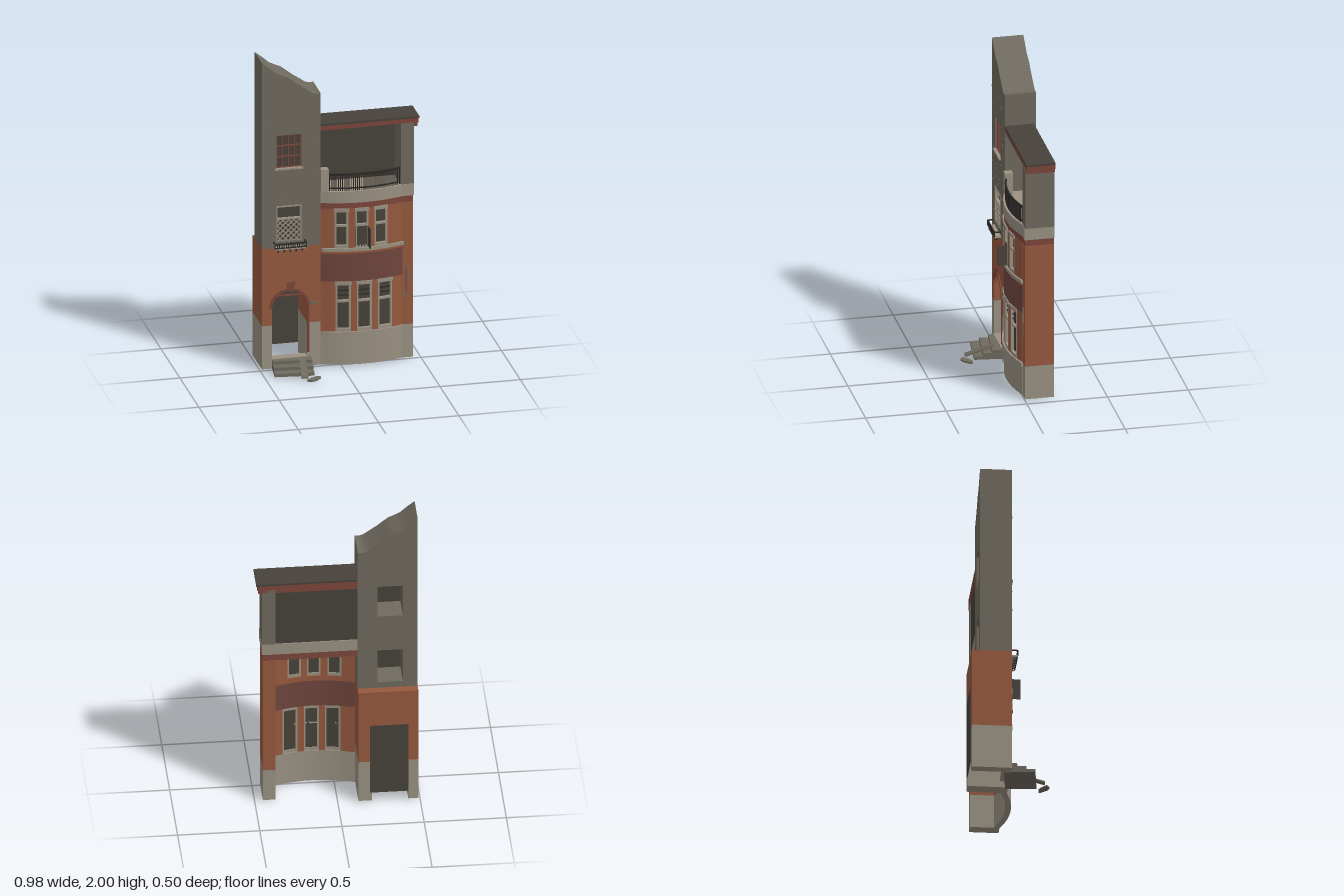
import * as THREE from 'three';
import { toCreasedNormals } from 'three/addons/utils/BufferGeometryUtils.js';

const mat = (name, color) => Object.assign(new THREE.MeshStandardMaterial({ color }), { name });

export function createModel() {
  const root = new THREE.Group();
  root.name = 'townhouseFacade';
  const brick = mat('orangeBrick', 0x96593f);
  const stone = mat('paleStone', 0x9a9182);
  const plaster = mat('greyPlaster', 0x6f6a5f);
  const dark = mat('darkPanel', 0x47423a);
  const red = mat('redTrim', 0x7c463b);
  const band = mat('maroonBand', 0x6f463d);
  const iron = mat('blackIron', 0x2b2926);

  const add = (name, geo, m, parent = root) => {
    const mesh = new THREE.Mesh(geo, m);
    mesh.name = name;
    parent.add(mesh);
    return mesh;
  };
  // box given by its extents
  const box = (name, m, x0, x1, y0, y1, z0, z1, parent = root) => {
    const b = add(name, new THREE.BoxGeometry(x1 - x0, y1 - y0, z1 - z0), m, parent);
    b.position.set((x0 + x1) / 2, (y0 + y1) / 2, (z0 + z1) / 2);
    return b;
  };
  // extrusion of an x-y outline from z0 to z1
  const slab = (name, m, shape, z0, z1, parent = root) => {
    const geo = new THREE.ExtrudeGeometry(shape, { depth: z1 - z0, bevelEnabled: false, curveSegments: 16 });
    geo.translate(0, 0, z0);
    return add(name, toCreasedNormals(geo, 0.5), m, parent);
  };
  const poly = (pts) => new THREE.Shape(pts.map((p) => new THREE.Vector2(p[0], p[1])));
  const rectHole = (x0, x1, y0, y1) => poly([[x0, y0], [x0, y1], [x1, y1], [x1, y0]]);

  // front line of the bowed facade
  const R = 0.717, CX = 0.13, SAG = 0.045;
  const bow = (x) => Math.max(0, Math.sqrt(R * R - (x - CX) ** 2) - (R - SAG));
  // block following the bow; a flat back is used when back is given
  const bowBlock = (name, m, x0, x1, y0, y1, out, thick, back) => {
    const n = Math.max(2, Math.ceil((x1 - x0) / 0.02));
    const front = [], rear = [];
    for (let i = 0; i <= n; i++) {
      const x = x0 + ((x1 - x0) * i) / n, z = bow(x) + out;
      front.push([x, -z]);
      rear.unshift([x, -(z - thick)]);
    }
    const end = back === undefined ? rear : [[x1, -back], [x0, -back]];
    const geo = new THREE.ExtrudeGeometry(poly([...front, ...end]), { depth: y1 - y0, bevelEnabled: false });
    geo.rotateX(-Math.PI / 2);
    geo.translate(0, y0, 0);
    return add(name, toCreasedNormals(geo, 0.5), m);
  };

  // ---- tower, lower block with arched passage ----
  const TX0 = -0.49, TX1 = -0.125, AX = -0.318, AR = 0.11;
  box('towerBaseOuter', stone, TX0, AX - AR, 0.01, 0.29, -0.245, 0);
  box('towerBaseInner', stone, AX + AR, TX1, 0.01, 0.29, -0.245, 0);
  const arch = new THREE.Shape();
  arch.moveTo(TX0, 0.29);
  arch.lineTo(AX - AR, 0.29);
  arch.lineTo(AX - AR, 0.4);
  arch.absarc(AX, 0.4, AR, Math.PI, 0, true);
  arch.lineTo(AX + AR, 0.29);
  arch.lineTo(TX1, 0.29);
  arch.lineTo(TX1, 0.79);
  arch.lineTo(TX0, 0.79);
  slab('towerBrick', brick, arch, -0.245, 0);
  box('backDoorPanel', dark, -0.43, -0.195, 0.07, 0.55, -0.252, -0.246);

  // arch trim, keystone and fanlight bars
  const ring = new THREE.Shape();
  ring.absarc(AX, 0.4, AR + 0.014, 0, Math.PI, false);
  ring.absarc(AX, 0.4, AR, Math.PI, 0, true);
  slab('archTrim', red, ring, -0.01, 0.008);
  box('archJamb', red, AX + AR, AX + AR + 0.012, 0.1, 0.4, -0.01, 0.006);
  slab('keystone', red, poly([[-0.326, 0.505], [-0.296, 0.51], [-0.282, 0.572], [-0.342, 0.556]]), 0, 0.014);
  box('fanlightRail', red, -0.395, -0.24, 0.465, 0.473, -0.03, -0.02);
  for (const x of [-0.345, -0.3]) box('fanlightBar', red, x, x + 0.006, 0.47, 0.505, -0.03, -0.02);
  box('doorLampBracket', plaster, -0.19, -0.145, 0.41, 0.425, 0, 0.008);

  // ---- tower, upper block with broken top edge ----
  const upper = poly([[TX0, 0.79], [TX1, 0.79], [TX1, 1.775], [-0.15, 1.772], [-0.177, 1.78], [-0.215, 1.807],
    [-0.257, 1.835], [-0.3, 1.87], [-0.33, 1.893], [-0.365, 1.908], [-0.4, 1.925], [-0.445, 1.965], [TX0, 2]]);
  const WX0 = -0.4, WX1 = -0.245;
  upper.holes.push(rectHole(WX0, WX1, 1.305, 1.52), rectHole(WX0, WX1, 0.83, 1.06));
  slab('towerUpper', plaster, upper, -0.195, 0);

  // top window with a red grid
  box('topWindowPane', dark, WX0, WX1, 1.305, 1.52, -0.035, -0.028);
  for (let i = 0; i < 5; i++) {
    const x = WX0 + i * 0.0373;
    box('topWindowBar', red, x, x + 0.006, 1.305, 1.52, -0.018, -0.008);
  }
  for (const y of [1.305, 1.375, 1.445, 1.513]) box('topWindowRail', red, WX0, WX1, y, y + 0.006, -0.018, -0.009);
  box('topWindowSill', stone, -0.41, -0.235, 1.297, 1.307, -0.02, 0.012);

  // lower window with diamond lattice
  box('latticePane', dark, WX0, WX1, 0.83, 1.06, -0.035, -0.028);
  box('latticeTransom', stone, WX0, WX1, 0.97, 0.98, -0.02, 0);
  box('latticeHead', stone, WX0, WX1, 1.053, 1.062, -0.02, 0.004);
  for (const x of [WX0, WX1 - 0.006]) box('latticeJamb', stone, x, x + 0.006, 0.83, 1.06, -0.02, 0.002);
  const LY0 = 0.82, LY1 = 0.97;
  for (const s of [1, -1]) {
    for (let k = -4; k < 5; k++) {
      // diagonal clipped to the window rectangle
      const c = (WX0 + WX1) / 2 + k * 0.034, mid = (LY0 + LY1) / 2;
      const t0 = Math.max(-0.075, WX0 - c), t1 = Math.min(0.075, WX1 - c);
      if (t1 - t0 < 0.01) continue;
      const t = (t0 + t1) / 2;
      const bar = add('latticeBar', new THREE.BoxGeometry((t1 - t0) * Math.SQRT2, 0.006, 0.006), stone);
      bar.position.set(c + t, mid + s * t, -0.012);
      bar.rotation.z = (s * Math.PI) / 4;
    }
  }

  // small iron balcony
  box('balconyFloor', stone, -0.415, -0.225, 0.79, 0.8, 0, 0.042);
  box('balconyRail', iron, -0.42, -0.22, 0.826, 0.833, 0.038, 0.045);
  box('balconyLowRail', iron, -0.42, -0.22, 0.8, 0.806, 0.038, 0.045);
  for (const x of [-0.42, -0.227]) box('balconySideRail', iron, x, x + 0.007, 0.826, 0.833, 0, 0.04);
  for (let i = 0; i <= 14; i++) box('balconyBar', iron, -0.42 + i * 0.0139, -0.415 + i * 0.0139, 0.8, 0.83, 0.039, 0.044);
  for (let i = 0; i < 5; i++) {
    const scroll = add('balconyScroll', new THREE.TorusGeometry(0.01, 0.003, 6, 12), iron);
    scroll.position.set(-0.395 + i * 0.0375, 0.783, 0.03);
    scroll.rotation.y = Math.PI / 3;
  }

  // scattered chips on the plaster
  let seed = 7;
  const rnd = () => (seed = (seed * 16807) % 2147483647) / 2147483647;
  for (let i = 0; i < 44; i++) {
    const x = -0.48 + rnd() * 0.34, y = 0.82 + rnd() * 0.94;
    if (x > -0.42 && x < -0.22 && (y < 1.08 || (y > 1.28 && y < 1.54))) continue;
    box('plasterChip', plaster, x, x + 0.009, y, y + 0.007, -0.002, 0.004);
  }

  // ---- bowed wing ----
  const BX0 = -0.125, BX1 = 0.385, PX0 = 0.375, PX1 = 0.45, TH = 0.035;
  box('pierBase', stone, PX0, PX1, 0.01, 0.225, -0.18, 0);
  box('pierBrick', brick, PX0, PX1, 0.225, 1.015, -0.18, 0);
  bowBlock('bowBase', stone, BX0, PX0, 0.01, 0.225, 0, TH);
  bowBlock('lowerSill', stone, -0.12, 0.39, 0.203, 0.225, 0.012, 0.03);
  bowBlock('maroonBand', band, BX0, BX1, 0.55, 0.73, 0.001, TH);
  bowBlock('brickCourse', brick, BX0, PX0, 0.73, 0.765, 0, TH);
  bowBlock('upperSill', stone, -0.12, 0.39, 0.747, 0.767, 0.012, 0.03);

  // wall between windows, plus frames and panes, one storey at a time
  const storey = (centres, w, y0, y1, transom) => {
    let x = BX0;
    for (const c of [...centres, null]) {
      bowBlock('brickPillar', brick, x, c === null ? PX0 : c - w / 2, y0, y1, 0, TH);
      if (c === null) break;
      const a = c - w / 2, b = c + w / 2, f = 0.011;
      x = b;
      bowBlock('windowPane', dark, a, b, y0, y1, -0.018, 0.006);
      for (const j of [a, b - f]) bowBlock('windowJamb', stone, j, j + f, y0, y1, 0.002, 0.03);
      bowBlock('windowHead', stone, a - 0.004, b + 0.004, y1 - 0.022, y1, 0.008, 0.036);
      bowBlock('windowBottom', stone, a, b, y0, y0 + 0.02, 0.002, 0.03);
      bowBlock('windowTransom', stone, a, b, transom, transom + 0.013, 0, 0.024);
    }
  };
  const lowX = [0.008, 0.137, 0.268];
  storey(lowX, 0.093, 0.225, 0.55, 0.415);
  storey([-0.002, 0.122, 0.242], 0.083, 0.765, 1.025, 0.905);
  for (const c of lowX) for (let i = 0; i < 2; i++) {
    bowBlock('transomSlat', iron, c - 0.035, c + 0.035, 0.455 + i * 0.03, 0.461 + i * 0.03, -0.008, 0.006);
  }
  // casement swung open
  bowBlock('openCasementGap', dark, 0.083, 0.155, 0.775, 0.905, 0.002, 0.005);
  const sash = box('openCasement', dark, 0.157, 0.162, 0.775, 0.905, 0.042, 0.107);
  sash.rotation.y = 0.08;

  // cornice and loggia floor
  bowBlock('redCornice', red, BX0, 0.45, 1.018, 1.06, 0, 0, -0.18);
  bowBlock('loggiaFloor', stone, BX0, 0.455, 1.06, 1.135, 0.004, 0, -0.18);

  // loggia: back panel, piers, roof
  box('loggiaBack', dark, BX0, PX0, 1.135, 1.53, -0.174, -0.166);
  box('loggiaPier', plaster, PX0, 0.455, 1.135, 1.53, -0.18, 0);
  box('railPost', stone, BX0, -0.075, 1.135, 1.275, -0.04, 0.008);
  box('roofLowerTrim', red, BX0, 0.478, 1.505, 1.53, -0.18, -0.15);
  box('roofPierTrim', red, 0.45, 0.478, 1.505, 1.53, -0.18, -0.004);
  box('roofTrim', red, BX0, 0.484, 1.528, 1.558, -0.18, -0.002);
  box('roof', dark, BX0, 0.49, 1.557, 1.57, -0.18, 0);

  // iron railing along the bow
  bowBlock('railTop', iron, -0.075, 0.372, 1.235, 1.246, -0.006, 0.012);
  bowBlock('railBottom', iron, -0.075, 0.372, 1.148, 1.155, -0.008, 0.008);
  for (let i = 0; i <= 34; i++) {
    const x = -0.07 + i * 0.0129, z = bow(x) - 0.012;
    box('baluster', iron, x - 0.0025, x + 0.0025, 1.135, 1.24, z - 0.0025, z + 0.0025);
  }

  // wall ornament on the right pier
  box('ornamentStem', red, 0.403, 0.41, 0.41, 0.59, 0, 0.006);
  box('ornamentTop', plaster, 0.41, 0.42, 0.5, 0.6, 0, 0.008);
  box('ornamentFoot', plaster, 0.396, 0.412, 0.41, 0.44, 0, 0.007);

  // ---- crooked steps, plank and rubble ----
  const steps = new THREE.Group();
  steps.name = 'steps';
  steps.position.set(-0.305, 0, 0);
  steps.rotation.y = -0.115;
  root.add(steps);
  [0.16, 0.105, 0.05].forEach((z, i) => box('step', plaster, -0.121, 0.121, 0.01 + i * 0.02, 0.03 + i * 0.02, -0.03, z, steps));
  box('threshold', stone, AX - AR, AX + AR, 0.05, 0.075, -0.05, 0.005);
  const plank = add('plank', new THREE.BoxGeometry(0.042, 0.01, 0.185), plaster);
  plank.position.set(-0.261, 0.047, 0.13);
  plank.rotation.set(0.33, -0.14, 0, 'YXZ');
  const rubble = slab('rubble', plaster, poly([[-0.265, -0.232], [-0.237, -0.25], [-0.205, -0.24], [-0.168, -0.2],
    [-0.17, -0.187], [-0.2, -0.185], [-0.235, -0.205]]), 0, 0.01);
  rubble.rotation.x = -Math.PI / 2;

  return root;
}
